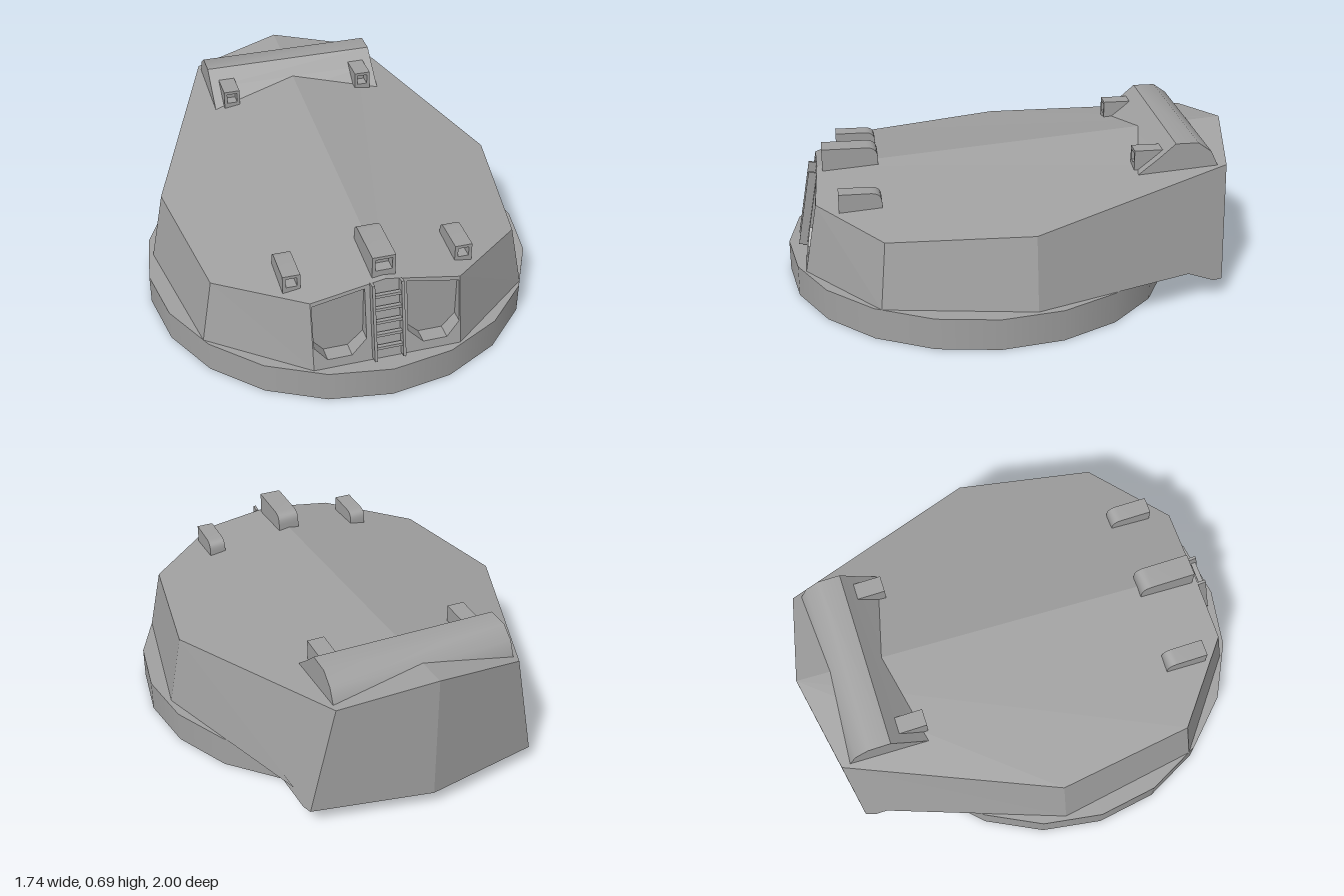
import * as THREE from 'three';
import { toCreasedNormals } from 'three/addons/utils/BufferGeometryUtils.js';

const gray = new THREE.MeshStandardMaterial({ color: 0xa0a0a0 });
gray.name = 'plain gray';

function mesh(name, geometry, parent) {
  const m = new THREE.Mesh(geometry, gray);
  m.name = name;
  parent.add(m);
  return m;
}

// Flat polygons for the +x half, each repeated mirrored on the -x half
function mirroredFaces(polygons) {
  const pos = [];
  const fan = (p) => {
    for (let i = 1; i < p.length - 1; i++) pos.push(...p[0], ...p[i], ...p[i + 1]);
  };
  for (const p of polygons) {
    fan(p);
    fan(p.map(([x, y, z]) => [-x, y, z]).reverse());
  }
  const g = new THREE.BufferGeometry();
  g.setAttribute('position', new THREE.Float32BufferAttribute(pos, 3));
  g.computeVertexNormals();
  return g;
}

// Side profile in (z, y), extruded to a width centred on x = 0
function sideExtrude(shape, width) {
  const g = new THREE.ExtrudeGeometry(shape, { depth: width, bevelEnabled: false, curveSegments: 5 });
  g.rotateY(Math.PI / 2);
  g.translate(-width / 2, 0, 0);
  return toCreasedNormals(g, 0.7);
}

// Depth of the sloping front plate at a height
const frontZ = (y) => 0.92 - 0.18 * (y - 0.14);

// Hollow-fronted sight housing with an optionally rounded back
function addScope(parent, name, { x, w, z, back, top, bottom, sill, round }) {
  const g = new THREE.Group();
  g.name = name;
  g.position.x = x;
  parent.add(g);
  const depth = 0.05, h = w / 2, rim = 0.014;
  const s = new THREE.Shape();
  s.moveTo(-(z - depth), bottom);
  s.lineTo(-back, bottom);
  s.lineTo(-back, top - round);
  if (round) s.quadraticCurveTo(-back, top, -(back + round), top);
  else s.lineTo(-back, top);
  s.lineTo(-(z - depth), top);
  mesh('scopeBody', sideExtrude(s, w), g);

  const f = new THREE.Shape([[-h, bottom], [h, bottom], [h, top], [-h, top]].map((p) => new THREE.Vector2(...p)));
  f.holes.push(new THREE.Path([[-h + rim, sill], [-h + rim, top - rim], [h - rim, top - rim], [h - rim, sill]]
    .map((p) => new THREE.Vector2(...p))));
  const frame = mesh('scopeFrame', new THREE.ExtrudeGeometry(f, { depth, bevelEnabled: false }), g);
  frame.position.z = z - depth;
}

export function createModel() {
  const root = new THREE.Group();
  root.name = 'turret';

  // Ring base
  const base = mesh('ringBase', new THREE.CylinderGeometry(0.87, 0.87, 0.14, 20), root);
  base.position.set(0, 0.07, 0.13);

  // Armoured shell: roof corners, then lower corners
  const F = [0, 0.505, frontZ(0.505)], A = [0.32, 0.453, frontZ(0.453)], B = [0.67, 0.42, 0.585];
  const C = [0.765, 0.455, -0.03], D = [0.41, 0.58, -0.92], R = [0, 0.655, -1];
  const Fb = [0, 0.14, 0.92], Ab = [0.32, 0.14, 0.92], Bb = [0.72, 0.14, 0.61], Cb = [0.825, 0.14, -0.03];
  const E = [0.545, 0.14, -0.8], E0 = [0, 0.14, -0.9];
  const G = [0.53, 0.08, -0.86], G0 = [0, 0.08, -0.96], H = [0.515, 0.08, -0.9], Rb = [0, 0.08, -1];
  mesh('roof', mirroredFaces([[F, A, B, C, D, R]]), root);
  mesh('sideWalls', mirroredFaces([[A, Ab, Bb, B], [B, Bb, Cb, C], [C, Cb, E, G, H, D]]), root);
  mesh('rearWall', mirroredFaces([[D, H, Rb, R]]), root);
  mesh('underside', mirroredFaces([[Fb, E0, E, Cb, Bb, Ab], [E, E0, G0, G], [G, G0, Rb, H]]), root);

  // Front plate with two openings
  const opening = [[0.09, 0.245], [0.155, 0.18], [0.26, 0.18], [0.315, 0.245], [0.315, 0.436], [0.09, 0.475]];
  const plate = new THREE.Shape([[-0.32, 0.14], [0.32, 0.14], [0.32, 0.453], [0, 0.505], [-0.32, 0.453]]
    .map((p) => new THREE.Vector2(...p)));
  for (const side of [-1, 1]) {
    plate.holes.push(new THREE.Path(opening.map(([x, y]) => new THREE.Vector2(side * x, y))));
  }
  const plateGeo = new THREE.ShapeGeometry(plate);
  const pp = plateGeo.attributes.position;
  for (let i = 0; i < pp.count; i++) pp.setZ(i, frontZ(pp.getY(i)));
  plateGeo.computeVertexNormals();
  mesh('frontPlate', plateGeo, root);

  // Recess walls and backs behind the openings
  const front = opening.map(([x, y]) => [x, y, frontZ(y)]);
  const rear = opening.map(([x, y]) => [x, y, 0.845]);
  const recess = front.map((p, i) => {
    const j = (i + 1) % front.length;
    return [p, front[j], rear[j], rear[i]];
  });
  mesh('frontRecesses', mirroredFaces([...recess, rear]), root);

  // Ladder leaning on the front plate
  const ladder = new THREE.Group();
  ladder.name = 'ladder';
  ladder.position.set(0, 0.15, 0.918);
  ladder.rotation.x = -Math.atan(0.18);
  root.add(ladder);
  for (const side of [-1, 1]) {
    mesh('ladderRail', new THREE.BoxGeometry(0.012, 0.355, 0.036), ladder).position.set(side * 0.062, 0.177, 0.018);
  }
  for (let i = 0; i < 5; i++) {
    mesh('ladderRung', new THREE.BoxGeometry(0.115, 0.012, 0.022), ladder).position.set(0, 0.055 + i * 0.061, 0.02);
  }

  // Rangefinder hood across the rear roof
  const hood = new THREE.Shape();
  hood.moveTo(0.51, 0.5);
  hood.lineTo(0.89, 0.5);
  hood.lineTo(0.89, 0.56);
  hood.lineTo(0.85, 0.643);
  hood.lineTo(0.79, 0.686);
  hood.lineTo(0.69, 0.686);
  hood.lineTo(0.62, 0.624);
  hood.lineTo(0.51, 0.535);
  mesh('rangefinderHood', sideExtrude(hood, 0.81), root);

  // Sights on the roof
  addScope(root, 'centreScope', { x: 0, w: 0.1, z: 0.83, back: 0.58, top: 0.6, bottom: 0.5, sill: 0.532, round: 0.05 });
  for (const side of [-1, 1]) {
    addScope(root, side > 0 ? 'leftFrontScope' : 'rightFrontScope',
      { x: side * 0.37, w: 0.075, z: 0.765, back: 0.58, top: 0.53, bottom: 0.445, sill: 0.474, round: 0.045 });
    addScope(root, side > 0 ? 'leftRearScope' : 'rightRearScope',
      { x: side * 0.325, w: 0.075, z: -0.52, back: -0.66, top: 0.645, bottom: 0.555, sill: 0.585, round: 0 });
  }
  return root;
}
